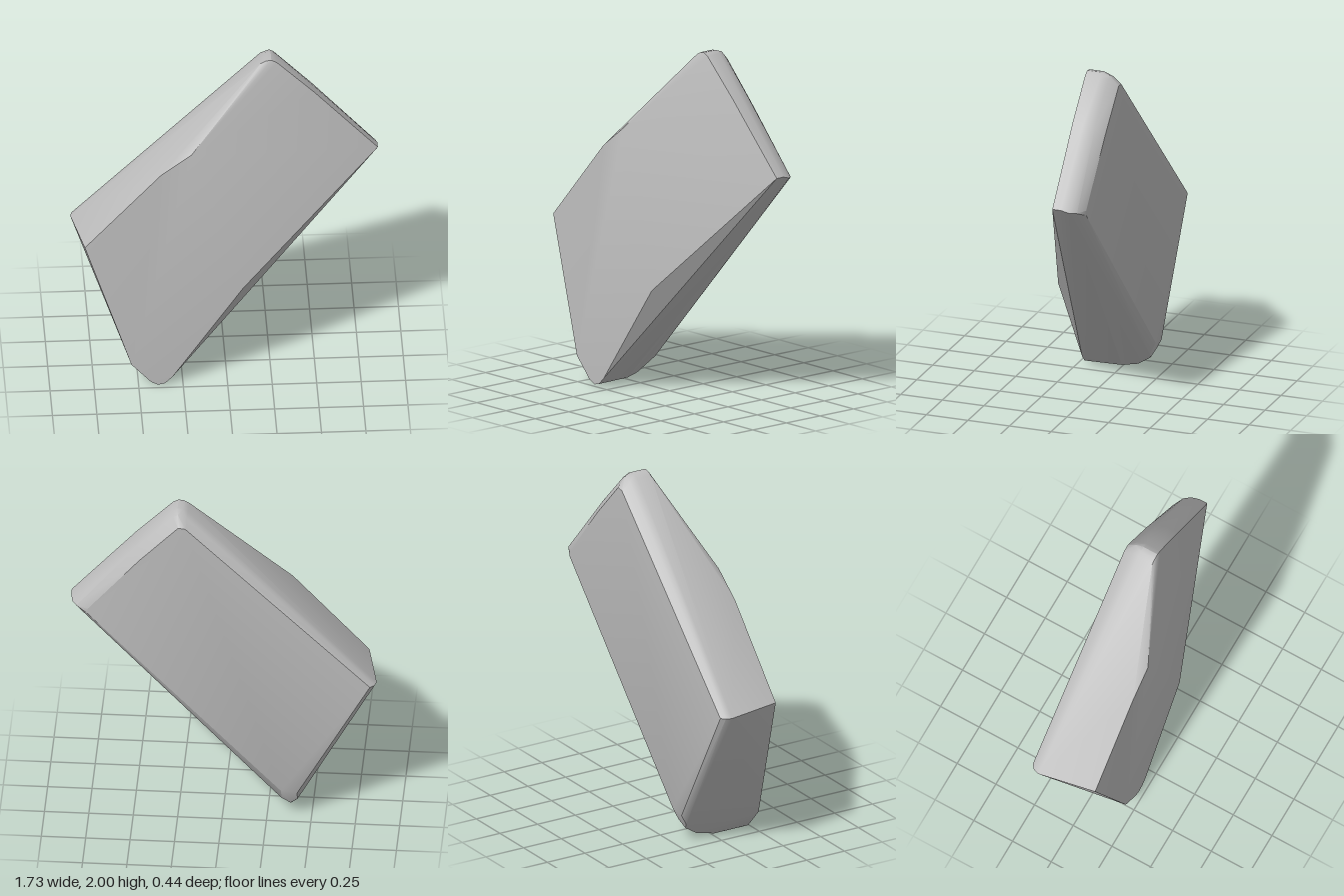
import * as THREE from 'three';
import { ConvexGeometry } from 'three/addons/geometries/ConvexGeometry.js';
import { toCreasedNormals } from 'three/addons/utils/BufferGeometryUtils.js';

export function createModel() {
  const group = new THREE.Group();
  const stone = new THREE.MeshStandardMaterial({ color: 0xbcbcbc });
  stone.name = 'stoneGrey';

  // Corners of the sloping front face
  const front = [
    [-0.8, 0.905, 0.17], [-0.54, 0.14, 0.22], [-0.43, 0.02, 0.22],
    [-0.39, 0, 0.22], [-0.35, 0.01, 0.22], [-0.31, 0.05, 0.22],
    [0.09, 0.63, 0.21], [-0.37, 1.38, 0.17], [-0.2, 1.51, 0.17],
    [0.2, 1.98, -0.03], [0.23, 1.997, -0.03], [0.26, 2, -0.03],
    [0.29, 1.985, -0.03], [0.5, 1.775, -0.035], [0.86, 1.38, -0.05],
  ];
  // Widest outline behind the front face
  const rim = [
    [-0.865, 0.905, -0.16], [-0.39, 0, 0.02], [-0.36, 0.01, 0],
    [-0.38, 0.022, -0.09], [-0.38, 0.07, -0.165],
    [0.2, 1.98, -0.12], [0.23, 1.997, -0.12], [0.26, 2, -0.12],
    [0.29, 1.985, -0.12], [0.5, 1.775, -0.1],
    [0.86, 1.38, -0.1], [0.85, 1.365, -0.15],
  ];
  // Rounded shoulder and flat back, each an inset of the same outline
  const shoulder = [
    [-0.855, 0.905, -0.195], [0.205, 1.965, -0.165], [0.255, 1.985, -0.165],
    [0.28, 1.97, -0.165], [0.49, 1.755, -0.165], [0.825, 1.36, -0.185],
    [-0.33, 0.11, -0.18], [-0.42, 0.11, -0.185],
  ];
  const back = [
    [-0.83, 0.905, -0.216], [0.21, 1.925, -0.216], [0.25, 1.93, -0.216],
    [0.47, 1.7, -0.216], [0.76, 1.36, -0.216], [0.76, 1.33, -0.216],
    [-0.33, 0.18, -0.216], [-0.42, 0.17, -0.216],
  ];

  const points = [...front, ...rim, ...shoulder, ...back].map((p) => new THREE.Vector3(...p));
  const slab = new THREE.Mesh(toCreasedNormals(new ConvexGeometry(points), 0.55), stone);
  slab.name = 'stoneSlab';
  group.add(slab);
  return group;
}
